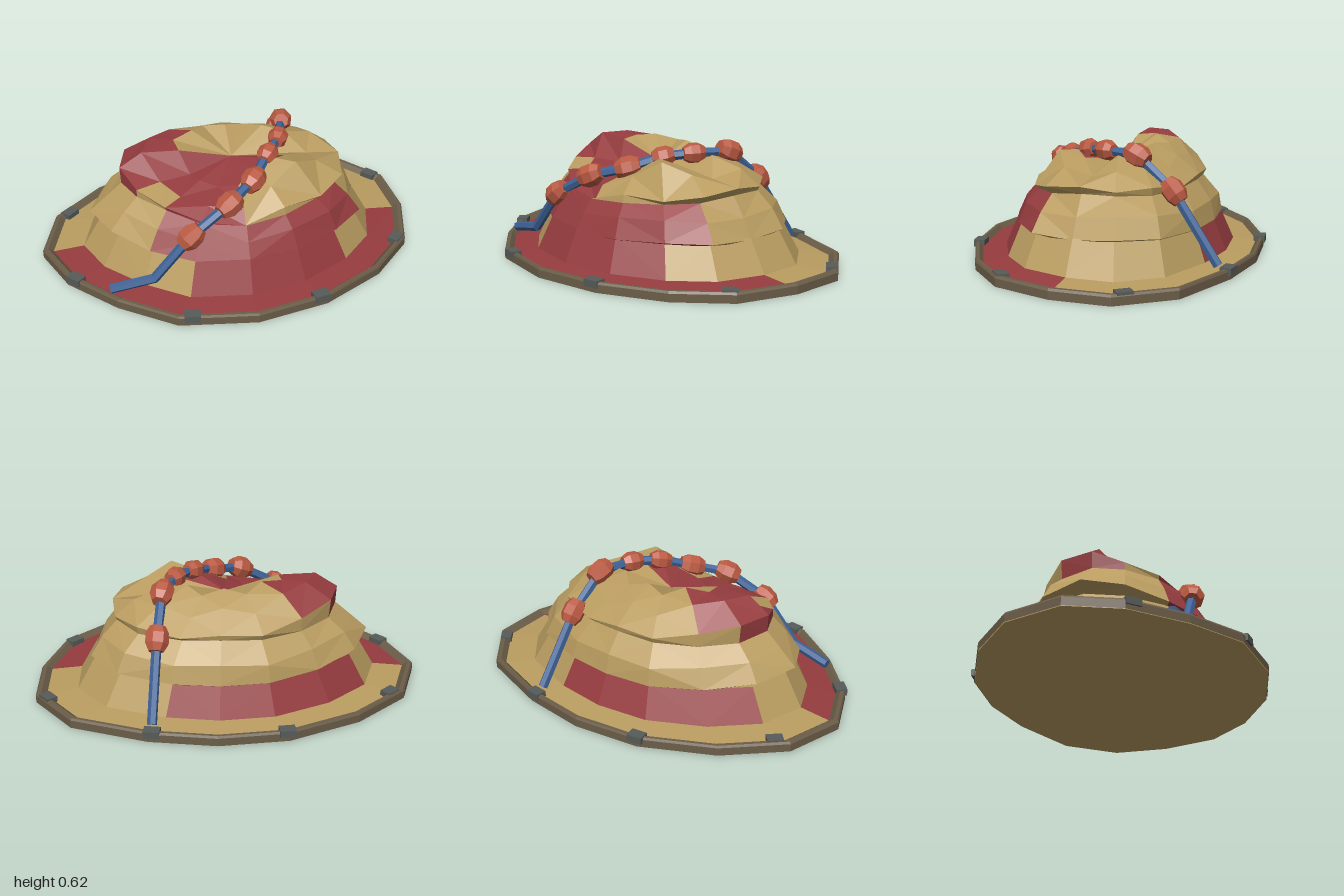
import * as THREE from 'three';

const mat = (name, color, side = THREE.FrontSide) => {
  const m = new THREE.MeshStandardMaterial({ color, side, flatShading: true });
  m.name = name;
  return m;
};

// Base outline (x, z), shared by every tier
const OUT = [[1, -0.23], [0.98, 0.07], [0.86, 0.37], [0.62, 0.57], [0.28, 0.71], [-0.09, 0.745],
  [-0.47, 0.65], [-0.72, 0.43], [-0.92, 0.17], [-1, -0.1], [-0.88, -0.39], [-0.6, -0.6],
  [-0.23, -0.735], [0.12, -0.745], [0.45, -0.67], [0.82, -0.5]];
const N = OUT.length;

export function createModel() {
  const model = new THREE.Group();
  model.name = 'drapedMound';
  const tan = mat('tan cloth', 0xb99c60, THREE.DoubleSide);
  const red = mat('red cloth', 0x963c3f, THREE.DoubleSide);
  const rimMat = mat('brown rim', 0x6b5d48, THREE.DoubleSide);
  const clipMat = mat('grey clip', 0x565b58);
  const ropeMat = mat('blue rope', 0x3d6296);
  const beadMat = mat('orange bead', 0xba5a42);

  const add = (name, geo, material, parent = model) => {
    const mesh = new THREE.Mesh(geo, material);
    mesh.name = name;
    parent.add(mesh);
    return mesh;
  };
  const at = (v, i) => (Array.isArray(v) ? v[i] : v);
  const ring = (s, y) => OUT.map(([x, z], i) => new THREE.Vector3(x * at(s, i), at(y, i), z * at(s, i)));
  const span = (a, b) => (i) => i >= a && i <= b;

  // Strip between two rings; the segments picked by isAlt take the second material
  const band = (name, lower, upper, isAlt = () => false, mats = [tan, red]) => {
    const pos = mats.map(() => []);
    for (let i = 0; i < N; i++) {
      const j = (i + 1) % N;
      const [a, b, c, d] = [lower[i], upper[i], upper[j], lower[j]];
      // alternate the diagonal so the facets look crumpled
      const corners = i % 2 ? [a, b, c, a, c, d] : [a, b, d, b, c, d];
      const out = pos[isAlt(i) ? 1 : 0];
      for (const p of corners) out.push(p.x, p.y, p.z);
    }
    pos.forEach((list, k) => {
      if (!list.length) return;
      const g = new THREE.BufferGeometry();
      g.setAttribute('position', new THREE.Float32BufferAttribute(list, 3));
      g.computeVertexNormals();
      add(name + (k ? 'Red' : ''), g, mats[k]);
    });
  };

  // Base plate
  const plate = new THREE.Shape(OUT.map(([x, z]) => new THREE.Vector2(x * 0.995, z * 0.995)));
  add('basePlate', new THREE.ExtrudeGeometry(plate, { depth: 0.02, bevelEnabled: false })
    .rotateX(Math.PI / 2).translate(0, 0.02, 0), tan);

  // Raised rim with a bevelled edge and sloping inner face
  const rimRings = [[1, 0.001], [1, 0.042], [0.992, 0.053], [0.972, 0.053], [0.942, 0.028]].map(([s, y]) => ring(s, y));
  for (let k = 0; k < rimRings.length - 1; k++) band('rim', rimRings[k], rimRings[k + 1], undefined, [rimMat]);

  // Clips along the rim, each turned to follow the nearest edge
  const clips = [[-0.22, -0.715], [0.43, -0.655], [0.935, -0.27], [0.81, 0.36], [0.25, 0.69],
    [-0.4, 0.65], [-0.88, 0.19], [-0.8, -0.4]];
  for (const [x, z] of clips) {
    let best = 9, angle = 0;
    OUT.forEach(([ax, az], i) => {
      const [bx, bz] = OUT[(i + 1) % N];
      const d = Math.hypot(ax - x, az - z) + Math.hypot(bx - x, bz - z) - Math.hypot(bx - ax, bz - az);
      if (d < best) { best = d; angle = -Math.atan2(bz - az, bx - ax); }
    });
    const clip = add('rimClip', new THREE.BoxGeometry(0.08, 0.036, 0.058), clipMat);
    clip.position.set(x, 0.042, z);
    clip.rotation.y = angle;
  }

  // Brim and skirt
  band('brim', ring(0.96, 0.03), ring(0.785, 0.045), span(1, 8));
  band('skirt', ring(0.785, 0.045), ring(0.69, 0.21), (i) => span(3, 5)(i) || span(10, 13)(i));

  // Middle tier with its overhanging lip
  const midY = [0.22, 0.2, 0.21, 0.21, 0.2, 0.2, 0.21, 0.22, 0.25, 0.26, 0.24, 0.21, 0.2, 0.2, 0.2, 0.21];
  const midS = [0.71, 0.69, 0.73, 0.71, 0.7, 0.69, 0.69, 0.72, 0.73, 0.74, 0.72, 0.7, 0.7, 0.7, 0.71, 0.71];
  const midRed = span(2, 6);
  const midLow = ring(midS, midY);
  const midBulge = ring([0.65, 0.64, 0.66, 0.66, 0.64, 0.63, 0.63, 0.65, 0.65, 0.65, 0.66, 0.65, 0.68, 0.67, 0.68, 0.66],
    [0.32, 0.3, 0.3, 0.31, 0.3, 0.28, 0.29, 0.32, 0.34, 0.34, 0.33, 0.31, 0.29, 0.3, 0.29, 0.31]);
  const midTop = ring(0.57, [0.4, 0.4, 0.38, 0.37, 0.36, 0.35, 0.37, 0.4, 0.41, 0.41, 0.4, 0.39, 0.39, 0.4, 0.39, 0.39]);
  band('middleLip', ring(0.66, midY.map((y) => y - 0.025)), midLow, midRed);
  band('middleTier', midLow, midBulge, midRed);
  band('middleShoulder', midBulge, midTop, midRed);

  // Crumpled crown: jagged edge, folds and crest around a sunken red hollow
  const edge = ring([0.58, 0.6, 0.62, 0.6, 0.56, 0.54, 0.55, 0.58, 0.57, 0.575, 0.58, 0.57, 0.59, 0.58, 0.6, 0.58],
    [0.42, 0.44, 0.42, 0.39, 0.4, 0.335, 0.37, 0.42, 0.45, 0.5, 0.5, 0.46, 0.42, 0.43, 0.41, 0.43]);
  const fold = ring([0.48, 0.42, 0.47, 0.43, 0.42, 0.47, 0.44, 0.45, 0.43, 0.46, 0.44, 0.43, 0.47, 0.42, 0.47, 0.43],
    [0.5, 0.46, 0.5, 0.555, 0.47, 0.41, 0.41, 0.43, 0.46, 0.575, 0.58, 0.56, 0.5, 0.52, 0.48, 0.51]);
  const crest = ring([0.32, 0.25, 0.3, 0.3, 0.24, 0.28, 0.25, 0.28, 0.25, 0.27, 0.31, 0.27, 0.33, 0.26, 0.32, 0.26],
    [0.55, 0.48, 0.52, 0.55, 0.5, 0.45, 0.43, 0.46, 0.455, 0.565, 0.575, 0.59, 0.56, 0.575, 0.55, 0.575]);
  const centre = OUT.map(() => new THREE.Vector3(0.01, 0.485, -0.02));
  band('crownLip', midTop, edge, (i) => span(5, 6)(i) || span(8, 9)(i));
  band('crownEdge', edge, fold, (i) => span(5, 6)(i) || span(8, 10)(i));
  band('crownFold', fold, crest, span(5, 10));
  band('crownHollow', crest, centre, span(2, 8));

  // Rope over the mound, strung with beads
  const path = [[-0.73, 0.065, 0.35], [-0.52, 0.11, 0.39], [-0.33, 0.33, 0.4], [-0.12, 0.45, 0.36],
    [0.04, 0.495, 0.25], [0.16, 0.55, 0.12], [0.26, 0.565, 0], [0.34, 0.56, -0.18],
    [0.38, 0.4, -0.37], [0.425, 0.06, -0.6]].map((p) => new THREE.Vector3(...p));
  const up = new THREE.Vector3(0, 1, 0);
  const rope = new THREE.Group();
  rope.name = 'beadedRope';
  model.add(rope);
  const beadProfile = [[0, -0.062], [0.038, -0.062], [0.058, -0.025], [0.058, 0.025], [0.038, 0.062], [0, 0.062]]
    .map(([r, y]) => new THREE.Vector2(r, y));
  path.forEach((p, i) => {
    if (i < path.length - 1) {
      const dir = path[i + 1].clone().sub(p);
      const piece = add('ropePiece', new THREE.CylinderGeometry(0.025, 0.025, dir.length() + 0.01, 6), ropeMat, rope);
      piece.position.copy(p).addScaledVector(dir, 0.5);
      piece.quaternion.setFromUnitVectors(up, dir.normalize());
    }
    if (i > 1 && i < path.length - 1) {
      const bead = add('bead', new THREE.LatheGeometry(beadProfile, 7), beadMat, rope);
      bead.position.copy(p);
      bead.quaternion.setFromUnitVectors(up, path[i + 1].clone().sub(path[i - 1]).normalize());
      bead.scale.setScalar(i === 5 || i === 6 ? 0.9 : 1.03);
    }
  });
  return model;
}
